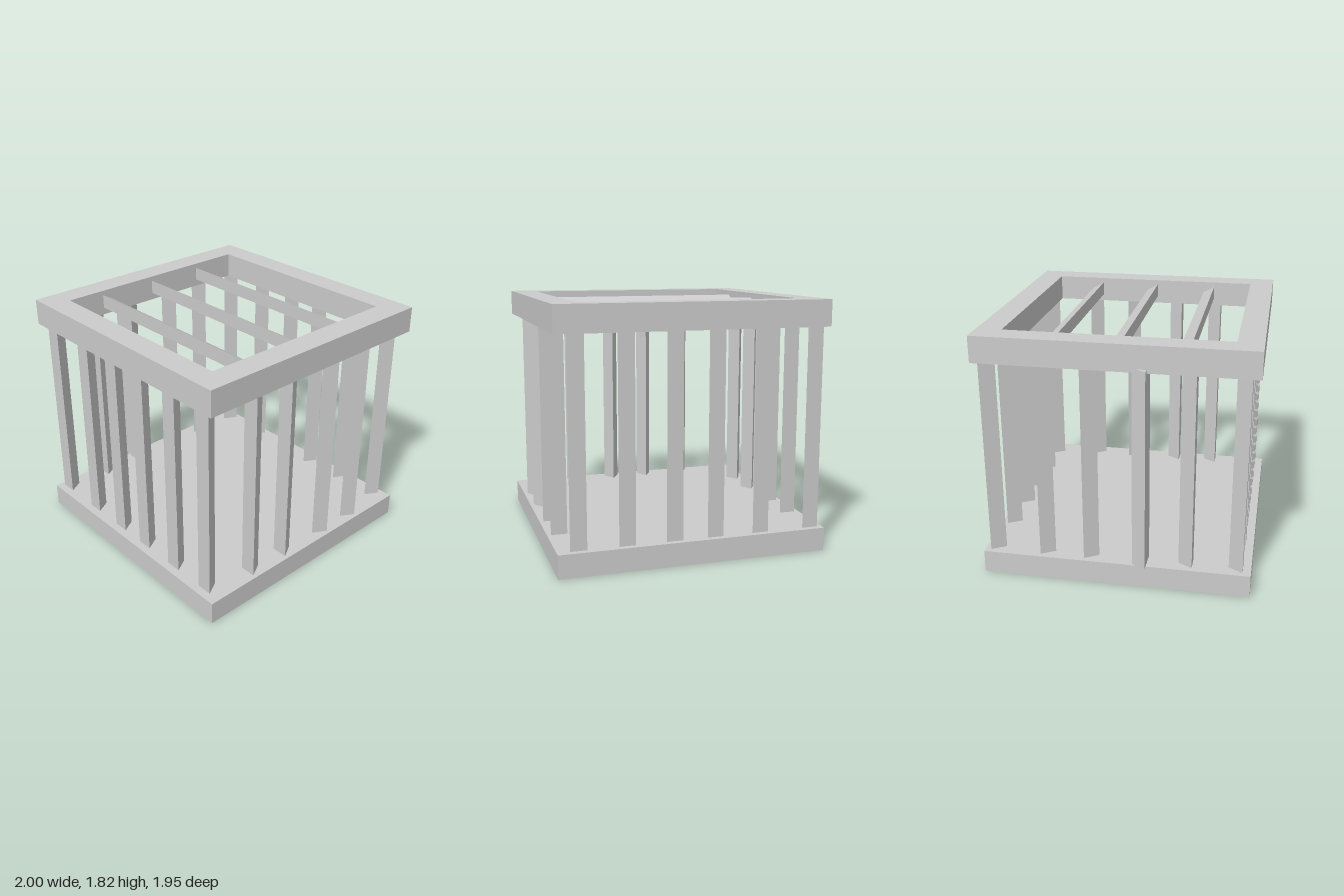
import * as THREE from 'three';

const material = new THREE.MeshStandardMaterial({ color: 0xcccccc, flatShading: true });

const BASE_TOP = 0.17, FRAME_BOTTOM = 1.63, FRAME_TOP = 1.82;
const X0 = -0.955, X1 = 1.0, Z = 0.975;

function add(group, name, geometry, x, y, z) {
  const mesh = new THREE.Mesh(geometry, material);
  mesh.name = name;
  mesh.position.set(x, y, z);
  group.add(mesh);
  return mesh;
}

// Three-sided upright bar; its flat face points away from the middle of the cage
function addBar(group, name, x, z, bottom = BASE_TOP, top = FRAME_BOTTOM) {
  const geometry = new THREE.CylinderGeometry(0.068, 0.068, top - bottom, 3);
  if (z > 0) geometry.rotateY(Math.PI);
  add(group, name, geometry, x, (bottom + top) / 2, z);
}

export function createModel() {
  const cage = new THREE.Group();
  cage.name = 'cage';
  const midX = (X0 + X1) / 2;

  // Solid floor slab
  add(cage, 'base', new THREE.BoxGeometry(X1 - X0, BASE_TOP, 2 * Z), midX, BASE_TOP / 2, 0);

  // Open square frame on top
  const outline = new THREE.Shape([
    new THREE.Vector2(X0, -Z), new THREE.Vector2(X1, -Z),
    new THREE.Vector2(X1, Z), new THREE.Vector2(X0, Z),
  ]);
  outline.holes.push(new THREE.Path([
    new THREE.Vector2(-0.775, -0.795), new THREE.Vector2(-0.775, 0.795),
    new THREE.Vector2(0.815, 0.795), new THREE.Vector2(0.815, -0.795),
  ]));
  const frame = new THREE.ExtrudeGeometry(outline, { depth: FRAME_TOP - FRAME_BOTTOM, bevelEnabled: false });
  frame.rotateX(-Math.PI / 2);
  add(cage, 'topFrame', frame, 0, FRAME_BOTTOM, 0);

  // Front and back rows of bars
  for (const x of [-0.86, -0.47, -0.13, 0.17, 0.51, 0.85]) {
    addBar(cage, 'frontBar', x, 0.882);
    addBar(cage, 'backBar', x, -0.898);
  }

  // Side rows of bars
  for (const z of [-0.521, -0.196, 0.196, 0.521]) {
    addBar(cage, 'leftBar', 0.913, z);
    addBar(cage, 'rightBar', -0.86, z);
  }

  // Loose bar standing just outside the right row
  addBar(cage, 'looseBar', -0.941, 0.196, 0.175, 1.655);

  // Three-sided roof slats across the opening, upright face to the front
  for (const z of [-0.459, 0.001, 0.471]) {
    const slat = new THREE.CylinderGeometry(0.058, 0.058, 1.62, 3);
    slat.rotateY(Math.PI).rotateZ(Math.PI / 2);
    add(cage, 'roofSlat', slat, 0.02, 1.735, z);
  }

  return cage;
}
